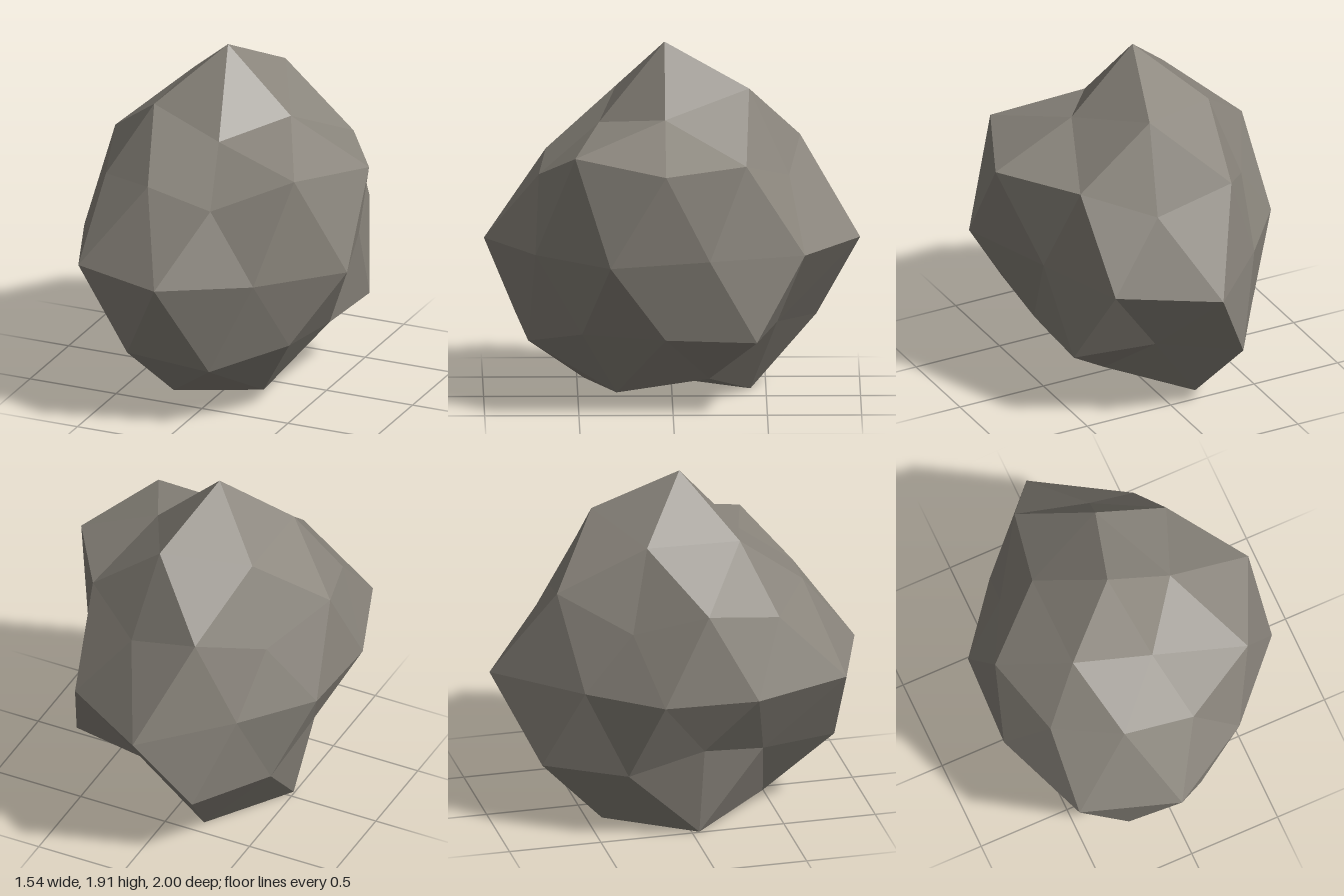
import * as THREE from 'three';

// Low-poly boulder: a once-subdivided icosahedron with poles up and down,
// stretched a little, with every corner pushed in or out along its own ray.
const CENTRE = new THREE.Vector3(-0.055, 0.86, 0.04);
const STRETCH = new THREE.Vector3(1, 1.2, 1.1);

const place = (reach, flat, height, degrees) => {
  const a = THREE.MathUtils.degToRad(degrees);
  return new THREE.Vector3(flat * Math.cos(a), height, flat * Math.sin(a))
    .multiplyScalar(reach).multiply(STRETCH).add(CENTRE);
};

// One ring of corners, evenly spaced around the vertical axis
const ring = (flat, height, start, reaches) =>
  reaches.map((r, i) => place(r, flat, height, start + (360 / reaches.length) * i));

function boulderGeometry() {
  const peak = place(0.883, 0, 1, 0);
  const crown = ring(0.5257, 0.8507, 0, [0.695, 0.633, 0.743, 0.755, 0.815]);
  const upper = ring(0.8944, 0.4472, 0, [0.917, 0.715, 0.722, 0.635, 0.705]);
  const shoulder = ring(0.8507, 0.5257, 36, [0.872, 0.705, 0.77, 0.812, 0.781]);
  const belt = ring(1, 0, 18, [0.867, 0.775, 0.871, 0.882, 0.757, 0.735, 0.692, 0.944, 0.832, 0.69]);
  const lower = ring(0.8944, -0.4472, 36, [0.766, 0.843, 0.62, 0.865, 0.838]);
  const flank = ring(0.8507, -0.5257, 0, [0.694, 0.815, 0.635, 0.73, 0.67]);
  const foot = ring(0.5257, -0.8507, 36, [0.758, 0.772, 0.833, 0.832, 0.692]);
  const base = place(0.6, 0, -1, 0);

  const corners = [];
  const face = (...points) => corners.push(...points);
  for (let k = 0; k < 5; k++) {
    const n = (k + 1) % 5;
    const b0 = belt[2 * k], b1 = belt[2 * k + 1], b2 = belt[2 * n];
    // cap
    face(peak, crown[n], crown[k]);
    face(crown[k], crown[n], shoulder[k]);
    face(crown[k], shoulder[k], upper[k]);
    face(crown[n], upper[n], shoulder[k]);
    // downward-pointing middle panel
    face(upper[k], shoulder[k], b0);
    face(shoulder[k], upper[n], b1);
    face(shoulder[k], b1, b0);
    face(b0, b1, lower[k]);
    // upward-pointing middle panel
    face(upper[n], b2, b1);
    face(b1, b2, flank[n]);
    face(b1, flank[n], lower[k]);
    face(b2, lower[n], flank[n]);
    // underside
    face(lower[k], flank[n], foot[k]);
    face(flank[n], lower[n], foot[n]);
    face(flank[n], foot[n], foot[k]);
    face(foot[k], foot[n], base);
  }
  const geometry = new THREE.BufferGeometry().setFromPoints(corners);
  geometry.computeVertexNormals();
  return geometry;
}

export function createModel() {
  const stone = new THREE.MeshStandardMaterial({ color: 0x8a857c, flatShading: true });
  stone.name = 'stone';

  const boulder = new THREE.Mesh(boulderGeometry(), stone);
  boulder.name = 'boulder';

  const model = new THREE.Group();
  model.name = 'rock';
  model.add(boulder);
  return model;
}
